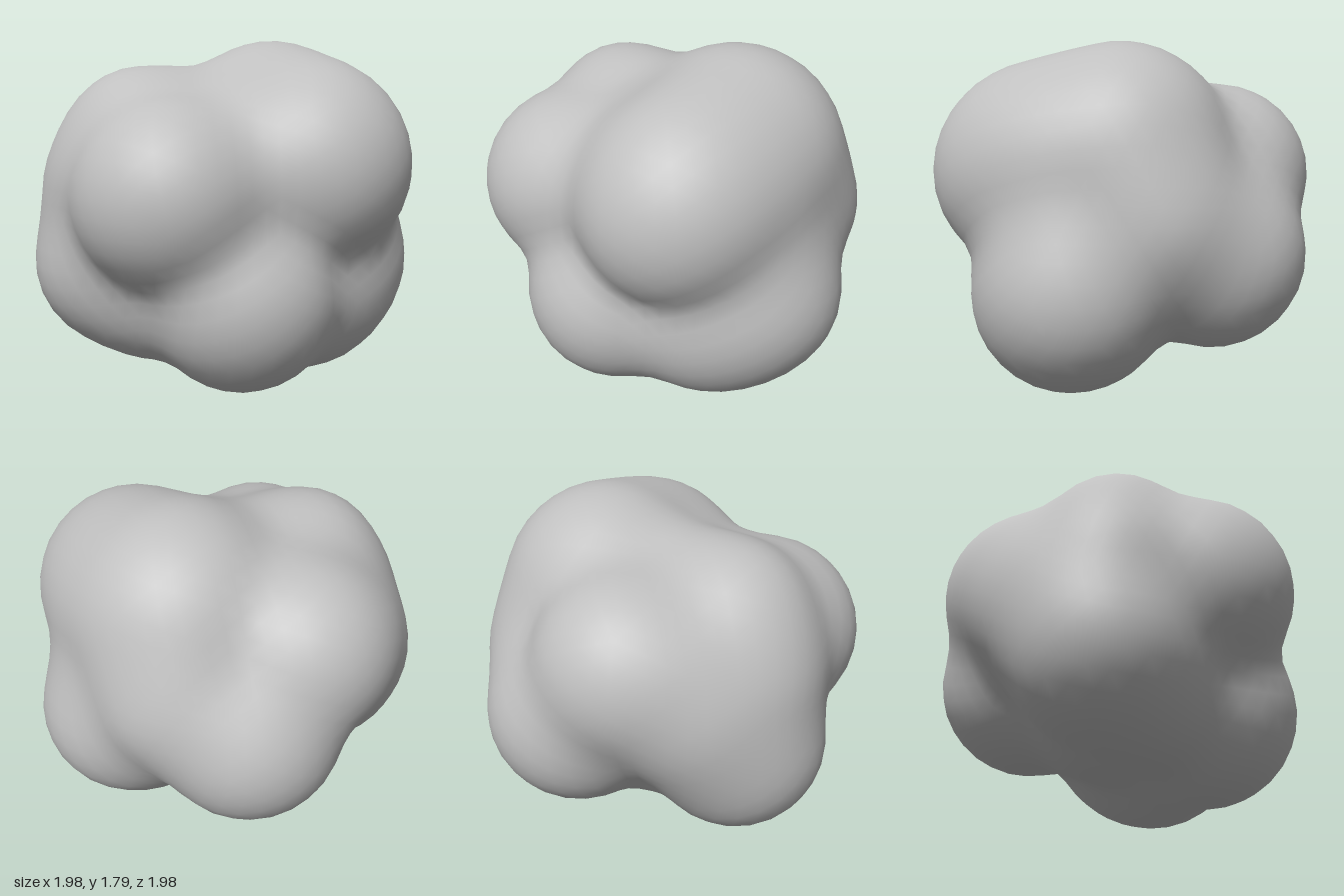
import * as THREE from 'three';
import { mergeVertices } from 'three/addons/utils/BufferGeometryUtils.js';

// Rounded lobes of the lump: x, y, z, radius
const LOBES = [
  [0.19, 1.12, 0.49, 0.495],   // front
  [0.24, 1.21, 0.42, 0.49],    // brow above the front
  [0.33, 1.23, 0.04, 0.57],    // top
  [0.31, 1.17, 0.27, 0.5],     // shoulder between front and top
  [-0.1, 1.15, -0.08, 0.5],    // saddle behind the front
  [-0.08, 1.09, 0.27, 0.46],   // cheek beside the front
  [-0.5, 1.02, 0.18, 0.5],     // left of front
  [-0.38, 1.23, -0.21, 0.43],  // upper back corner
  [-0.44, 1, -0.28, 0.45],     // middle back corner
  [0.06, 1.1, -0.51, 0.485],   // back
  [-0.16, 1.03, -0.47, 0.44],  // back, beside the first
  [-0.29, 0.85, -0.47, 0.42],  // back, below it
  [0.48, 0.93, -0.11, 0.485],  // side
  [0.36, 0.73, -0.42, 0.49],   // lower back, side
  [0.5, 0.6, 0.27, 0.485],     // lower side
  [0.42, 0.85, 0.25, 0.45],    // slope under the shoulder
  [-0.45, 0.62, -0.31, 0.475], // lower back corner
  [-0.37, 0.5, -0.08, 0.4],    // lower flank
  [-0.19, 0.5, 0.36, 0.495],   // lower front
  [0.3, 0.5, 0.3, 0.495],      // lower front, other side
  [0, 0.55, -0.15, 0.41],      // underside
].map(([x, y, z, r]) => ({ c: new THREE.Vector3(x, y, z), r }));

const BLEND = 0.13;

// Distance to the softly joined lobes
function distance(p) {
  let d = 10;
  for (const { c, r } of LOBES) {
    const e = p.distanceTo(c) - r;
    const h = Math.max(BLEND - Math.abs(d - e), 0) / BLEND;
    d = Math.min(d, e) - h * h * BLEND * 0.25;
  }
  return d;
}

// Sphere shrink-wrapped onto the lobes along rays to the middle
function lumpGeometry() {
  let geo = new THREE.IcosahedronGeometry(1, 11);
  geo.deleteAttribute('uv');
  geo.deleteAttribute('normal');
  geo = mergeVertices(geo, 1e-4);
  const middle = new THREE.Vector3(0, 0.88, 0);
  const pos = geo.attributes.position;
  const dir = new THREE.Vector3();
  const p = new THREE.Vector3();
  for (let i = 0; i < pos.count; i++) {
    dir.fromBufferAttribute(pos, i).normalize();
    let t = 1.7;
    for (let step = 0; step < 80; step++) {
      p.copy(middle).addScaledVector(dir, t);
      const d = distance(p);
      if (d < 0.0005) break;
      t -= d * 0.9;
    }
    pos.setXYZ(i, p.x, p.y, p.z);
  }
  // Centre it and stand it on the ground
  geo.computeBoundingBox();
  const mid = geo.boundingBox.getCenter(new THREE.Vector3());
  geo.translate(-mid.x, -geo.boundingBox.min.y, -mid.z);
  geo.computeVertexNormals();
  return geo;
}

export function createModel() {
  const group = new THREE.Group();
  group.name = 'lumpyBoulder';
  const grey = new THREE.MeshStandardMaterial({ color: 0xc0c0c0 });
  grey.name = 'grey';
  const lump = new THREE.Mesh(lumpGeometry(), grey);
  lump.name = 'boulder';
  group.add(lump);
  return group;
}
